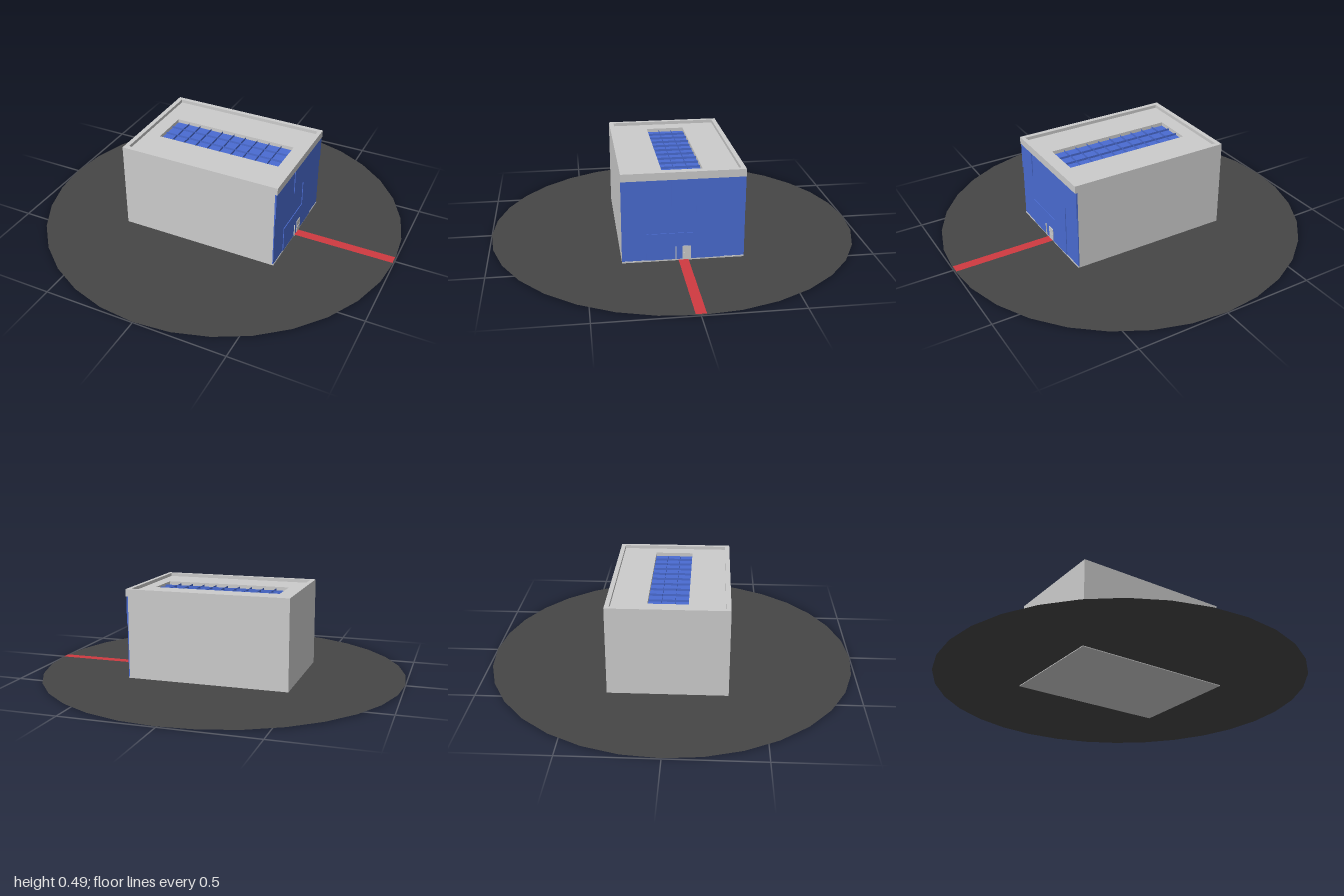
import * as THREE from 'three';

const mat = (color) => new THREE.MeshStandardMaterial({ color, side: THREE.DoubleSide, flatShading: true });

export function createModel() {
  const model = new THREE.Group();
  const grey = mat(0xcccccc), blue = mat(0x4a6cd2), red = mat(0xd03a40), dark = mat(0x464646);

  const add = (name, geometry, material) => {
    const mesh = new THREE.Mesh(geometry, material);
    mesh.name = name;
    model.add(mesh);
    return mesh;
  };
  // Box given by its lower and upper limits
  const block = (name, x0, x1, y0, y1, z0, z1, material) =>
    add(name, new THREE.BoxGeometry(x1 - x0, y1 - y0, z1 - z0), material)
      .position.set((x0 + x1) / 2, (y0 + y1) / 2, (z0 + z1) / 2);
  // Flat rectangular ring with a rectangular opening
  const rect = (P, x0, x1, z0, z1) => new P([[x0, -z1], [x1, -z1], [x1, -z0], [x0, -z0]]
    .map(([x, y]) => new THREE.Vector2(x, y)));
  const ring = (name, outer, inner, y0, y1) => {
    const shape = rect(THREE.Shape, ...outer);
    shape.holes.push(rect(THREE.Path, ...inner));
    const g = new THREE.ExtrudeGeometry(shape, { depth: y1 - y0, bevelEnabled: false });
    add(name, g.rotateX(-Math.PI / 2), grey).position.y = y0;
  };

  // Ground and path
  add('ground', new THREE.CircleGeometry(1, 32).rotateX(-Math.PI / 2), dark).position.y = 0.004;
  add('path', new THREE.PlaneGeometry(0.555, 0.052).rotateX(-Math.PI / 2), red).position.set(0.717, 0.007, -0.001);

  // Building body
  const Z0 = -0.318, Z1 = 0.316;
  block('body', -0.445, 0.434, 0, 0.45, Z0, Z1, grey);
  block('facadeSill', 0.434, 0.441, 0, 0.012, Z0, Z1, grey);

  // Roof slab with skylight opening, and parapet
  const outer = [-0.445, 0.447, Z0, Z1];
  ring('roofSlab', outer, [-0.34, 0.36, -0.108, 0.102], 0.45, 0.472);
  ring('parapet', outer, [-0.42, 0.425, -0.294, 0.29], 0.472, 0.49);

  // Skylight glass divided by thin fins
  add('skylightGlass', new THREE.PlaneGeometry(0.7, 0.21).rotateX(-Math.PI / 2), blue).position.set(0.01, 0.452, -0.003);
  for (let i = 1; i < 10; i++) {
    add('skylightCrossFin', new THREE.PlaneGeometry(0.21, 0.012).rotateY(Math.PI / 2), blue)
      .position.set(-0.34 + i * 0.07, 0.458, -0.003);
  }
  for (let i = 1; i < 3; i++) {
    add('skylightLongFin', new THREE.PlaneGeometry(0.7, 0.012), blue).position.set(0.01, 0.458, -0.108 + i * 0.07);
  }

  // Glass facade in a 5 by 3 grid, panels stepping slightly in depth (bottom row first)
  const steps = [[0, 1, 1, 1, 0], [0, 0, 0, 1, 0], [1, 0, 1, 1, 1]];
  const w = (Z1 - Z0) / 5, h = (0.45 - 0.012) / 3;
  steps.forEach((row, r) => row.forEach((s, c) => {
    const z = Z1 - c * w, y = 0.012 + r * h;
    block('facadePanel', 0.434, s ? 0.443 : 0.439, y, y + h, z - w, z, blue);
  }));

  // Double door: one leaf closed, one swung open
  block('doorLeaf', 0.441, 0.446, 0.012, 0.085, -0.04, 0.004, grey);
  block('doorHandle', 0.446, 0.448, 0.045, 0.05, -0.035, 0, grey);
  block('openDoorLeaf', 0.437, 0.448, 0.012, 0.083, 0.037, 0.041, grey);

  return model;
}
